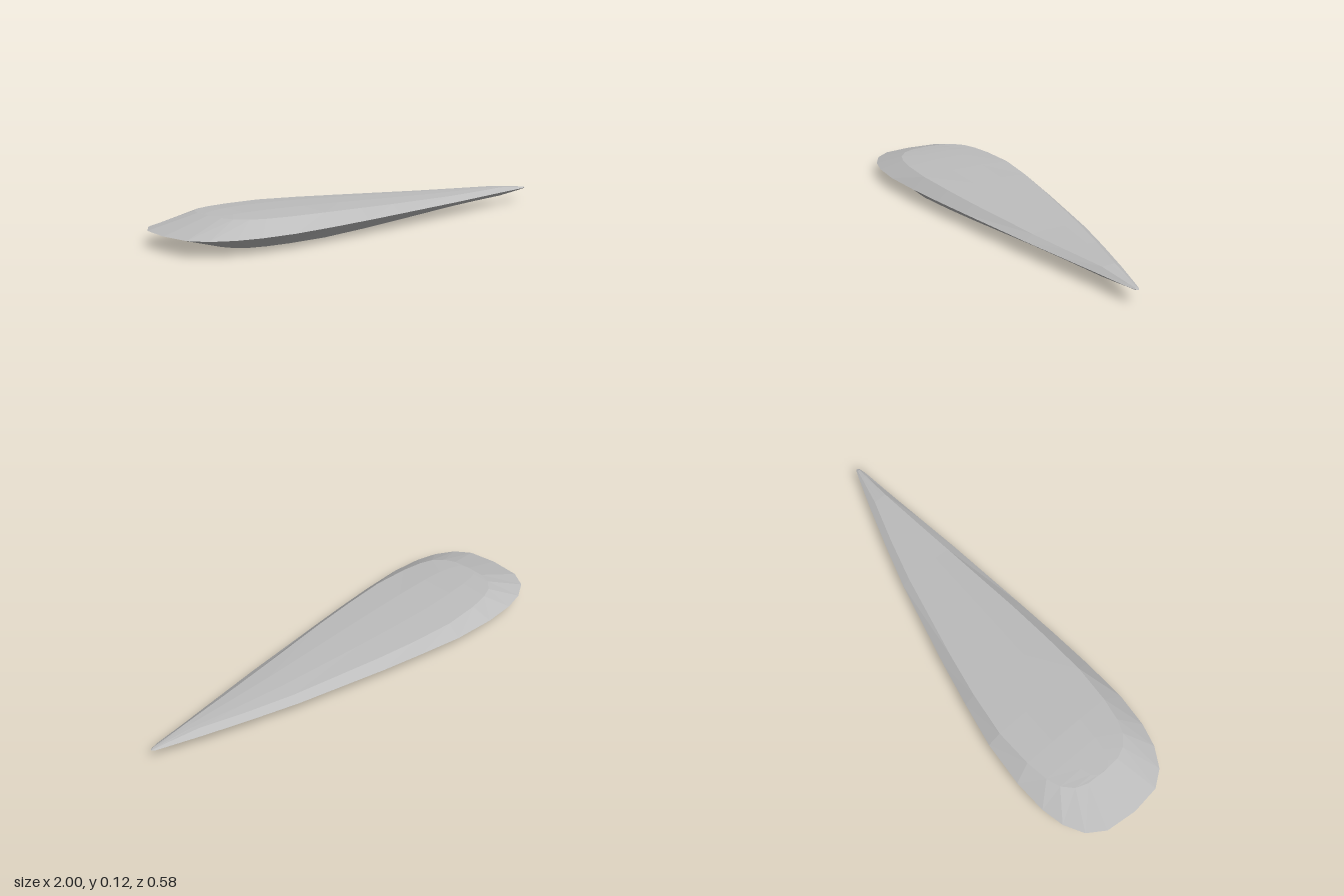
import * as THREE from 'three';

const MID = 0.0625; // height of the sharp rim

// rim x, rim back z, rim front z, crown x, crown back z, crown front z, crown half height, ridge half height
const STATIONS = [
  [-1.0, 0, 0, -0.8, 0, 0, 0.057, 0.057],
  [-0.985, -0.14, 0.13, -0.795, -0.08, 0.08, 0.056, 0.057],
  [-0.935, -0.217, 0.2, -0.775, -0.135, 0.13, 0.055, 0.058],
  [-0.85, -0.265, 0.25, -0.73, -0.178, 0.172, 0.054, 0.06],
  [-0.75, -0.288, 0.277, -0.67, -0.2, 0.195, 0.053, 0.062],
  [-0.6, -0.295, 0.29, -0.57, -0.216, 0.212, 0.052, 0.0625],
  [-0.4, -0.28, 0.28, -0.4, -0.222, 0.222, 0.05, 0.059],
  [-0.2, -0.242, 0.262, -0.2, -0.196, 0.212, 0.044, 0.053],
  [0.0, -0.2, 0.24, 0.0, -0.158, 0.197, 0.037, 0.045],
  [0.4, -0.103, 0.193, 0.4, -0.068, 0.156, 0.024, 0.03],
  [0.6, -0.043, 0.165, 0.6, -0.012, 0.134, 0.021, 0.025],
  [0.8, 0.022, 0.137, 0.8, 0.052, 0.113, 0.0195, 0.0205],
  [0.95, 0.075, 0.118, 0.94, 0.085, 0.107, 0.008, 0.009],
  [0.99, 0.09, 0.109, 0.985, 0.094, 0.105, 0.004, 0.004],
  [1.0, 0.1, 0.1, 1.0, 0.1, 0.1, 0, 0],
];

// Closed cross-section: back rim, over the crown, front rim, under the belly
function section([rx, rb, rf, cx, cb, cf, h, ridge]) {
  const mid = (cb + cf) / 2, half = (cf - cb) * 0.18;
  const upper = [[cx, h, cb], [cx, ridge, mid - half], [cx, ridge, mid + half], [cx, h, cf]];
  const lower = upper.map(([x, y, z]) => [x, -y, z]).reverse();
  return [[rx, 0, rb], ...upper, [rx, 0, rf], ...lower];
}

function bladeGeometry() {
  const rings = STATIONS.map(section), n = rings[0].length, positions = [];
  const put = (...points) => points.forEach(([x, y, z]) => positions.push(x, y + MID, z));
  for (let i = 0; i < rings.length - 1; i++) {
    for (let j = 0; j < n; j++) {
      const k = (j + 1) % n, a = rings[i], b = rings[i + 1];
      put(a[j], a[k], b[j]);
      put(a[k], b[k], b[j]);
    }
  }
  const geometry = new THREE.BufferGeometry();
  geometry.setAttribute('position', new THREE.Float32BufferAttribute(positions, 3));
  geometry.computeVertexNormals(); // unshared corners give flat facets
  return geometry;
}

export function createModel() {
  const group = new THREE.Group();
  group.name = 'bevelledBlade';
  const stone = new THREE.MeshStandardMaterial({ color: 0xbcbcbc });
  stone.name = 'lightGrey';
  const blade = new THREE.Mesh(bladeGeometry(), stone);
  blade.name = 'blade';
  group.add(blade);
  return group;
}
